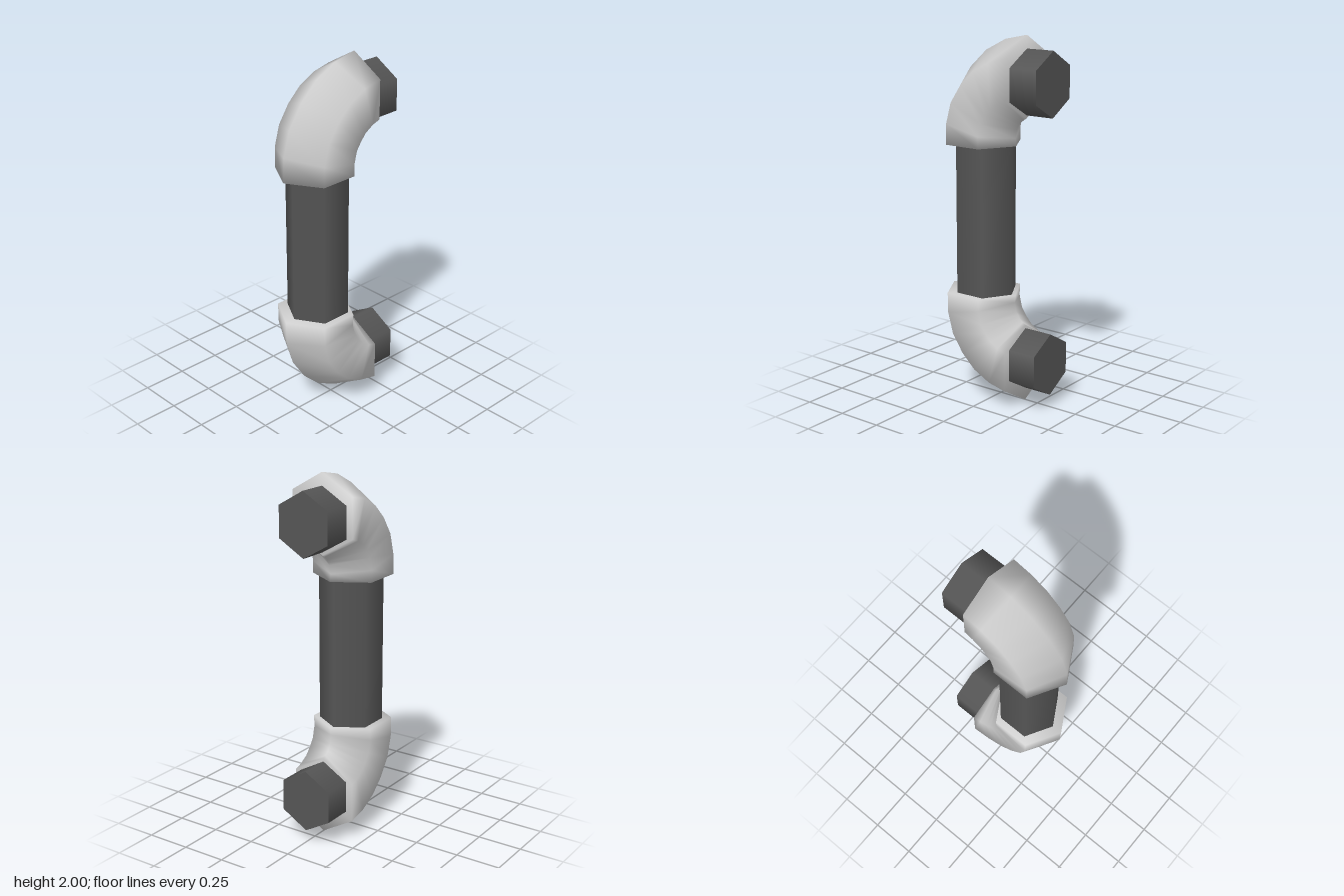
import * as THREE from 'three';

const SIDES = 6;
const ELBOW_R = 0.216;
const PIPE_R = 0.173;

// Hexagonal bend: each station is [outer z, outer y, tilt in degrees]
function elbowGeometry() {
  const stations = [
    [0.333, 1.412, 0], [0.328, 1.547, 12.5], [0.288, 1.685, 25], [0.204, 1.81, 42],
    [0.098, 1.907, 59], [-0.029, 1.971, 74], [-0.167, 2.0, 90],
  ];
  const pos = [], index = [], centres = [];
  for (const [oz, oy, deg] of stations) {
    const t = THREE.MathUtils.degToRad(deg);
    const nz = Math.cos(t), ny = Math.sin(t);
    const cz = oz - nz * ELBOW_R, cy = oy - ny * ELBOW_R;
    centres.push([0, cy, cz]);
    for (let j = 0; j < SIDES; j++) {
      const a = (j / SIDES) * Math.PI * 2;
      const r = ELBOW_R * Math.cos(a);
      pos.push(ELBOW_R * Math.sin(a), cy + ny * r, cz + nz * r);
    }
  }
  const last = stations.length - 1;
  const startCentre = pos.length / 3;
  pos.push(...centres[0], ...centres[last]);
  for (let j = 0; j < SIDES; j++) {
    const k = (j + 1) % SIDES;
    for (let i = 0; i < last; i++) {
      const a = i * SIDES + j, b = i * SIDES + k;
      index.push(a, b, a + SIDES, b, b + SIDES, a + SIDES);
    }
    // end faces share the rim, so the shading rolls over it
    index.push(startCentre, k, j);
    index.push(startCentre + 1, last * SIDES + j, last * SIDES + k);
  }
  const geo = new THREE.BufferGeometry();
  geo.setAttribute('position', new THREE.Float32BufferAttribute(pos, 3));
  geo.setIndex(index);
  geo.computeVertexNormals();
  return geo;
}

export function createModel() {
  const group = new THREE.Group();
  group.name = 'pullHandle';
  const light = new THREE.MeshStandardMaterial({ color: 0xcccccc });
  const dark = new THREE.MeshStandardMaterial({ color: 0x555555 });

  const add = (parent, name, geo, mat, x, y, z) => {
    const mesh = new THREE.Mesh(geo, mat);
    mesh.name = name;
    mesh.position.set(x, y, z);
    parent.add(mesh);
    return mesh;
  };

  // upright grip
  add(group, 'grip', new THREE.CylinderGeometry(PIPE_R, PIPE_R, 0.86, SIDES), dark, 0, 1, 0.1);

  // elbow and wall stub at each end; the lower one is the upper turned over
  const elbow = elbowGeometry();
  const stub = new THREE.CylinderGeometry(PIPE_R, PIPE_R, 0.19, SIDES).rotateX(Math.PI / 2);
  for (const name of ['upperEnd', 'lowerEnd']) {
    const end = new THREE.Group();
    end.name = name;
    end.position.y = 1;
    if (name === 'lowerEnd') end.rotation.z = Math.PI;
    add(end, 'elbow', elbow, light, 0, -1, 0);
    add(end, 'wallStub', stub, dark, 0, 0.757, -0.238);
    group.add(end);
  }
  return group;
}
